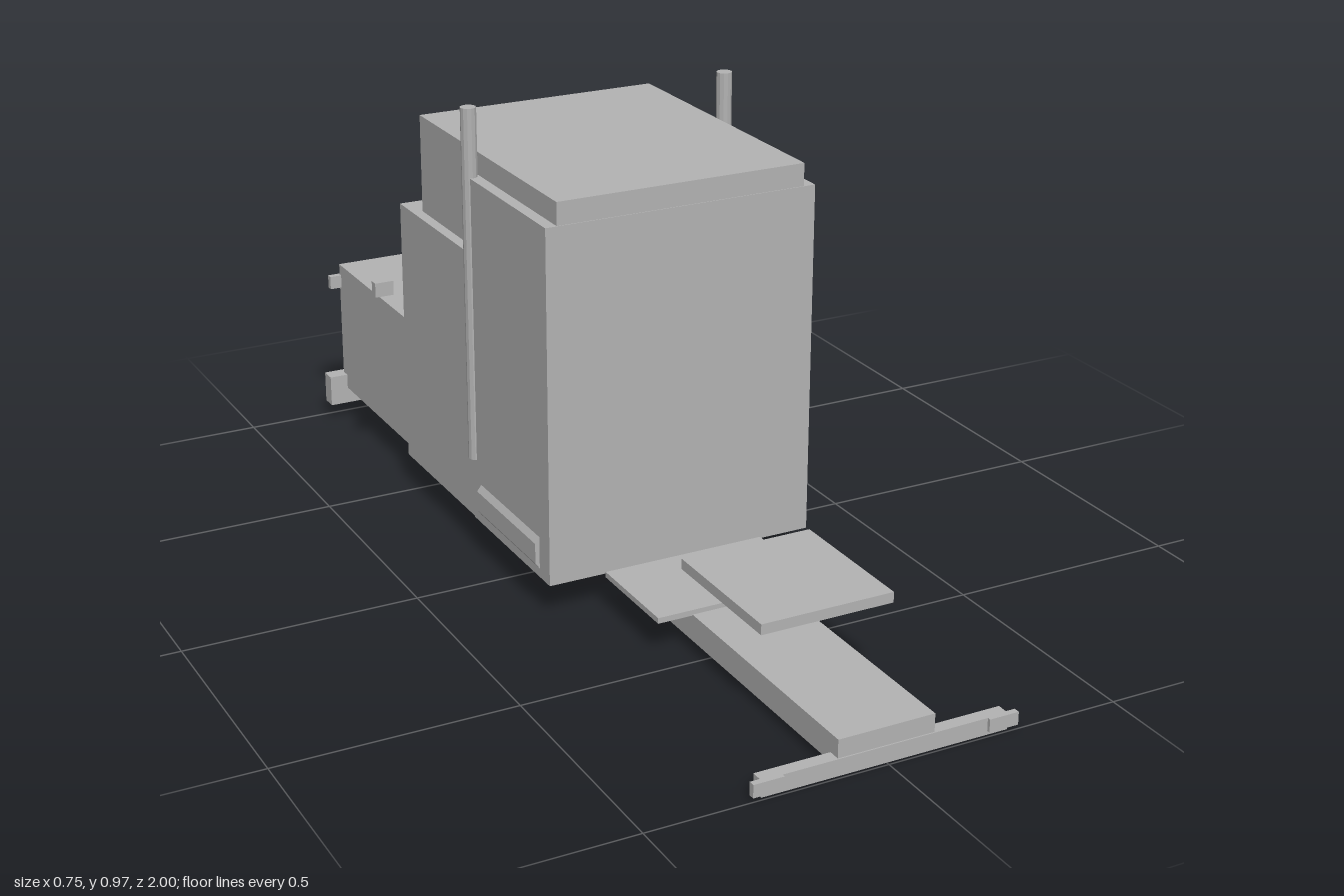
import * as THREE from 'three';

export function createModel() {
  const model = new THREE.Group();
  model.name = 'tractorUnit';
  const grey = new THREE.MeshStandardMaterial({ color: 0xb2b2b2, flatShading: true });
  grey.name = 'grey';

  const add = (name, geometry) => {
    const mesh = new THREE.Mesh(geometry, grey);
    mesh.name = name;
    model.add(mesh);
    return mesh;
  };
  // box given by its lower and upper limits on each axis
  const box = (name, x0, x1, y0, y1, z0, z1) => {
    const mesh = add(name, new THREE.BoxGeometry(x1 - x0, y1 - y0, z1 - z0));
    mesh.position.set((x0 + x1) / 2, (y0 + y1) / 2, (z0 + z1) / 2);
  };
  // box centred on x = 0
  const midBox = (name, half, ...limits) => box(name, -half, half, ...limits);

  // chassis and bodywork
  midBox('chassis', 0.103, 0.018, 0.075, -0.86, 0.99);
  midBox('hood', 0.273, 0.075, 0.38, -0.985, -0.525);
  midBox('cab', 0.296, 0.075, 0.665, -0.53, -0.16);
  midBox('sleeper', 0.298, 0.075, 0.83, -0.16, 0.208);
  midBox('roof', 0.273, 0.66, 0.878, -0.46, 0.206);
  midBox('frontBumper', 0.315, 0.037, 0.108, -1, -0.963);

  // rear deck, coupling plate and tail bar
  midBox('deckPlate', 0.179, 0.073, 0.085, 0.22, 0.447);
  midBox('couplingPlate', 0.143, 0.195, 0.217, 0.473, 0.78);
  midBox('tailBar', 0.262, 0.002, 0.037, 0.965, 0.993);

  for (const [side, s] of [['left', 1], ['right', -1]]) {
    const sideBox = (name, inner, outer, ...limits) =>
      box(side + name, Math.min(s * inner, s * outer), Math.max(s * inner, s * outer), ...limits);

    sideBox('TailLamp', 0.218, 0.282, 0.01, 0.037, 0.987, 1);
    sideBox('HeadLamp', 0.25, 0.3, 0.325, 0.355, -0.99, -0.975);
    sideBox('Mirror', 0.334, 0.376, 0.475, 0.507, -0.51, -0.49);

    // upright exhaust
    const stack = add(side + 'Exhaust', new THREE.CylinderGeometry(0.0165, 0.0165, 0.762, 12));
    stack.position.set(s * 0.2925, 0.594, -0.158);

    // fuel tank sunk into the lower body
    const tank = add(side + 'FuelTank', new THREE.CylinderGeometry(0.07, 0.07, 0.285, 10));
    tank.rotation.x = Math.PI / 2;
    tank.position.set(s * 0.241, 0.129, 0.019);
  }
  return model;
}
